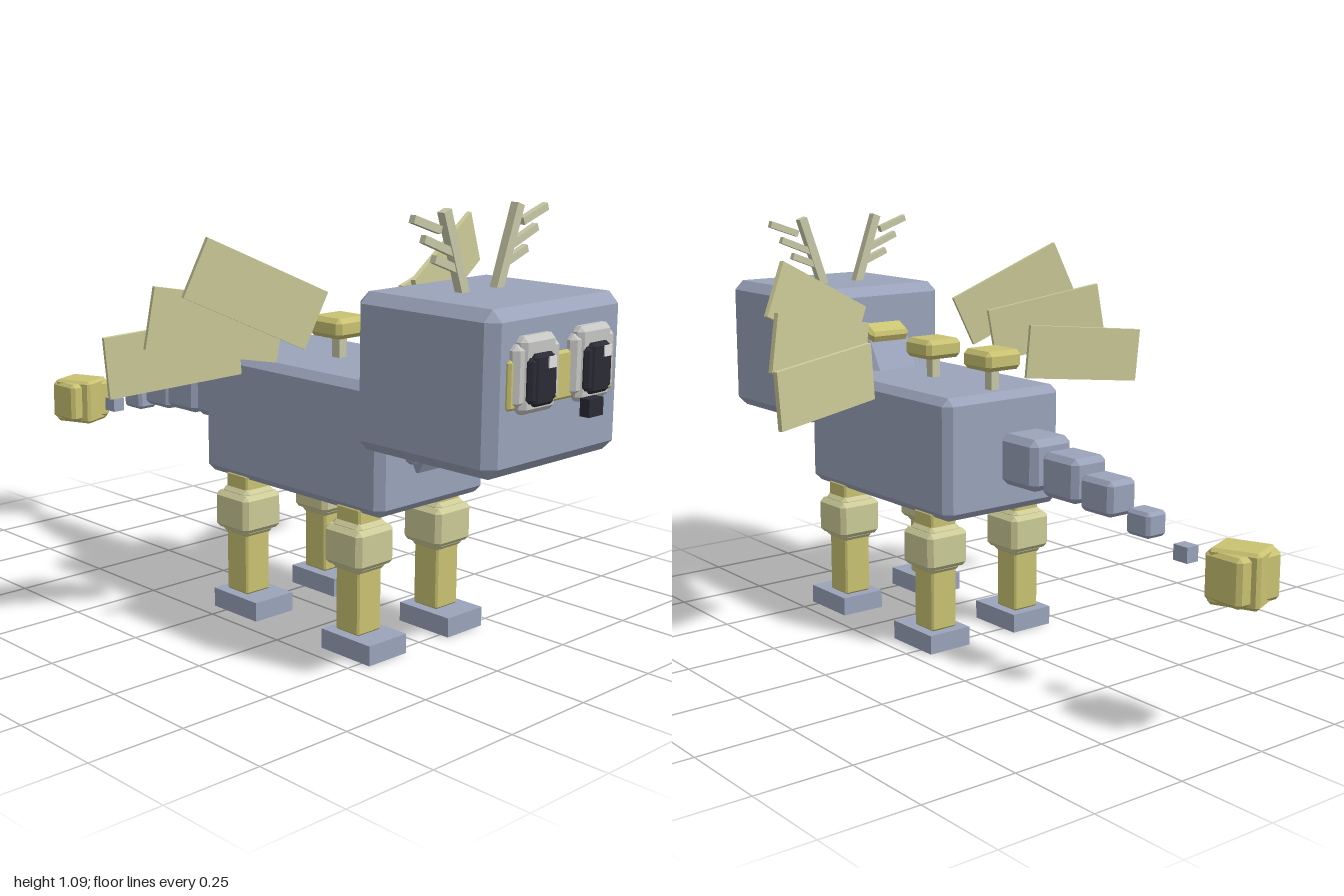
import * as THREE from 'three';
import { ConvexGeometry } from 'three/addons/geometries/ConvexGeometry.js';

const mat = (name, color) => {
  const m = new THREE.MeshStandardMaterial({ color });
  m.name = name;
  return m;
};

// Box with flat chamfers on every edge
function chamferBox(w, h, d, c) {
  const pts = [], x = w / 2, y = h / 2, z = d / 2;
  for (const i of [-1, 1]) for (const j of [-1, 1]) for (const k of [-1, 1]) {
    pts.push(new THREE.Vector3(i * x, j * (y - c), k * (z - c)));
    pts.push(new THREE.Vector3(i * (x - c), j * y, k * (z - c)));
    pts.push(new THREE.Vector3(i * (x - c), j * (y - c), k * z));
  }
  return new ConvexGeometry(pts);
}

export function createModel() {
  const root = new THREE.Group();
  root.name = 'creature';
  const blue = mat('slate blue', 0x9aa3ba);
  const yellow = mat('dull yellow', 0xc9c272);
  const pale = mat('pale yellow', 0xcccb98);
  const bone = mat('bone', 0xc8c8a8);
  const grey = mat('light grey', 0xc6c6c4);
  const black = mat('black', 0x2a2b34);
  const white = mat('glint white', 0xe2e2e2);
  const rad = THREE.MathUtils.degToRad;

  // size [w,h,d], position [x,y,z], chamfer, rotation in degrees
  function box(name, material, size, pos, c = 0, rot = [0, 0, 0]) {
    const geo = c ? chamferBox(...size, c) : new THREE.BoxGeometry(...size);
    const m = new THREE.Mesh(geo, material);
    m.name = name;
    m.position.set(...pos);
    m.rotation.set(...rot.map(rad));
    root.add(m);
    return m;
  }

  // Body, head and slanted neck
  box('body', blue, [0.38, 0.32, 0.64], [0, 0.52, 0.22], 0.02);
  box('head', blue, [0.46, 0.37, 0.415], [0, 0.715, 0.6925], 0.026);
  box('neck', blue, [0.165, 0.25, 0.26], [0, 0.61, 0.484], 0.02, [30, 0, 0]);
  box('neckCollar', blue, [0.215, 0.2, 0.235], [0, 0.61, 0.49], 0.02, [30, 0, 0]);
  box('neckSpike', yellow, [0.13, 0.045, 0.06], [0, 0.775, 0.44], 0.01, [-30, 0, 0]);

  // Face
  box('faceBand', yellow, [0.37, 0.11, 0.02], [0, 0.737, 0.9], 0.006);
  box('nose', black, [0.05, 0.04, 0.025], [0, 0.68, 0.9875]);
  for (const s of [-1, 1]) {
    const x = s * 0.098;
    box('eyeFrameTall', grey, [0.116, 0.17, 0.045], [x, 0.755, 0.902], 0.012);
    box('eyeFrameWide', grey, [0.155, 0.138, 0.04], [x, 0.755, 0.9], 0.012);
    box('eyeWide', black, [0.095, 0.1, 0.04], [x, 0.745, 0.915], 0.008);
    box('eyeTall', black, [0.068, 0.115, 0.05], [x, 0.745, 0.914], 0.008);
    box('eyeGlint', white, [0.025, 0.025, 0.006], [x + 0.018, 0.782, 0.939]);
  }

  // Antlers: bars drawn between two points, mirrored
  const bars = [
    [0.055, 0.885, 0.127, 1.088, 0.025],
    [0.085, 0.955, 0.16, 0.983, 0.018],
    [0.1, 0.993, 0.195, 1.03, 0.018],
    [0.142, 1.046, 0.23, 1.076, 0.018],
  ];
  for (const s of [-1, 1]) bars.forEach(([x0, y0, x1, y1, w], i) => {
    const len = Math.hypot(x1 - x0, y1 - y0);
    const ang = THREE.MathUtils.radToDeg(Math.atan2(y1 - y0, x1 - x0));
    box(i ? 'antlerBranch' : 'antlerBeam', bone, [len, w, i ? 0.016 : 0.022],
      [s * (x0 + x1) / 2, (y0 + y1) / 2, 0.665], 0, [0, 0, s * ang]);
  });

  // Fanned wing plates: x, y, z, tilt
  const plates = [[0.331, 0.878, 0.27, 25], [0.379, 0.8, 0.18, 10], [0.429, 0.718, 0.08, -5]];
  for (const s of [-1, 1]) for (const [x, y, z, tilt] of plates)
    box('wingPlate', pale, [0.345, 0.148, 0.013], [s * x, y, z], 0, [0, s * 15, s * tilt]);

  // Back spikes on stems
  for (const z of [-0.045, 0.21]) {
    box('spikeStem', bone, [0.026, 0.08, 0.026], [0, 0.71, z]);
    box('backSpike', yellow, [0.115, 0.052, 0.112], [0, 0.761, z], 0.012);
  }

  // Legs
  for (const s of [-1, 1]) for (const z of [0.425, 0.018]) {
    const x = s * 0.14;
    box('leg', yellow, [0.08, 0.32, 0.08], [x, 0.21, z], 0.005);
    box('knee', pale, [0.127, 0.1, 0.125], [x, 0.27, z], 0.012);
    box('kneeCore', pale, [0.1, 0.127, 0.1], [x, 0.27, z], 0.012);
    box('foot', blue, [0.127, 0.05, 0.165], [x, 0.025, z + 0.019]);
  }

  // Tail beads: width, height, depth, y, z
  const beads = [
    [0.132, 0.132, 0.14, 0.524, -0.222],
    [0.112, 0.112, 0.13, 0.51, -0.368],
    [0.09, 0.088, 0.112, 0.487, -0.49],
    [0.064, 0.062, 0.078, 0.446, -0.622],
    [0.036, 0.038, 0.044, 0.401, -0.752],
  ];
  beads.forEach(([w, h, d, y, z], i) =>
    box('tailBead', blue, [w, h, d], [0, y, z], i < 4 ? w * 0.13 : 0));
  box('tailTip', yellow, [0.14, 0.115, 0.11], [0, 0.39, -0.925], 0.01);
  box('tailTipTwisted', yellow, [0.105, 0.13, 0.122], [0, 0.39, -0.922], 0.008, [0, 22, 0]);

  return root;
}
